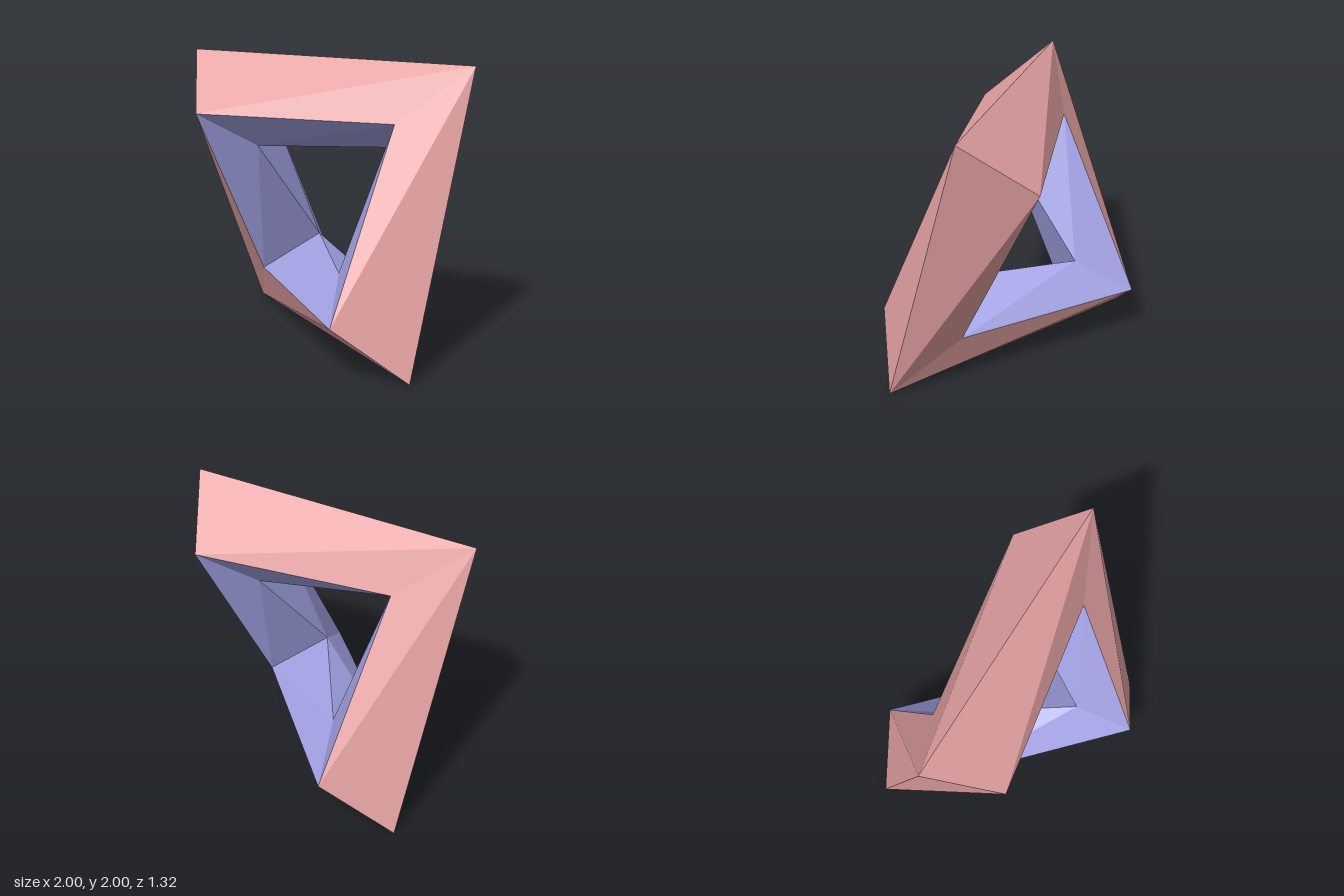
import * as THREE from 'three';

// Kite cross-section at each corner, as [distance from axis, z offset]:
// outer, front, inner, back
const SECTION = [[1, 0], [0.62, 0.35], [0.38, 0], [0.62, -0.35]];
// Corners of the square ring; alternate corners lean back and forward
const CORNERS = [[1, 1, -0.31], [-1, 1, 0.31], [-1, -1, -0.31], [1, -1, 0.31]];

function point(corner, k) {
  const [sx, sy, z] = CORNERS[corner % 4];
  const [r, dz] = SECTION[k % 4];
  return [sx * r, 1 + sy * r, z + dz];
}

// Joins the corners with the chosen sides of the section, two triangles each
function band(name, sides, color) {
  const pos = [];
  for (const k of sides) {
    for (let i = 0; i < 4; i++) {
      const a = point(i, k), b = point(i + 1, k);
      const c = point(i + 1, k + 1), d = point(i, k + 1);
      // the fold always starts from a corner that leans back
      const tris = i % 2 === 0 ? [a, b, c, a, c, d] : [a, b, d, b, c, d];
      pos.push(...tris.flat());
    }
  }
  const geo = new THREE.BufferGeometry();
  geo.setAttribute('position', new THREE.Float32BufferAttribute(pos, 3));
  geo.computeVertexNormals();
  const mesh = new THREE.Mesh(geo, new THREE.MeshStandardMaterial({ color, flatShading: true }));
  mesh.name = name;
  return mesh;
}

export function createModel() {
  const group = new THREE.Group();
  group.name = 'twistedSquareRing';
  group.add(band('outerFaces', [0, 3], 0xe6a3a3));
  group.add(band('innerFaces', [1, 2], 0xa3a3e6));
  return group;
}
